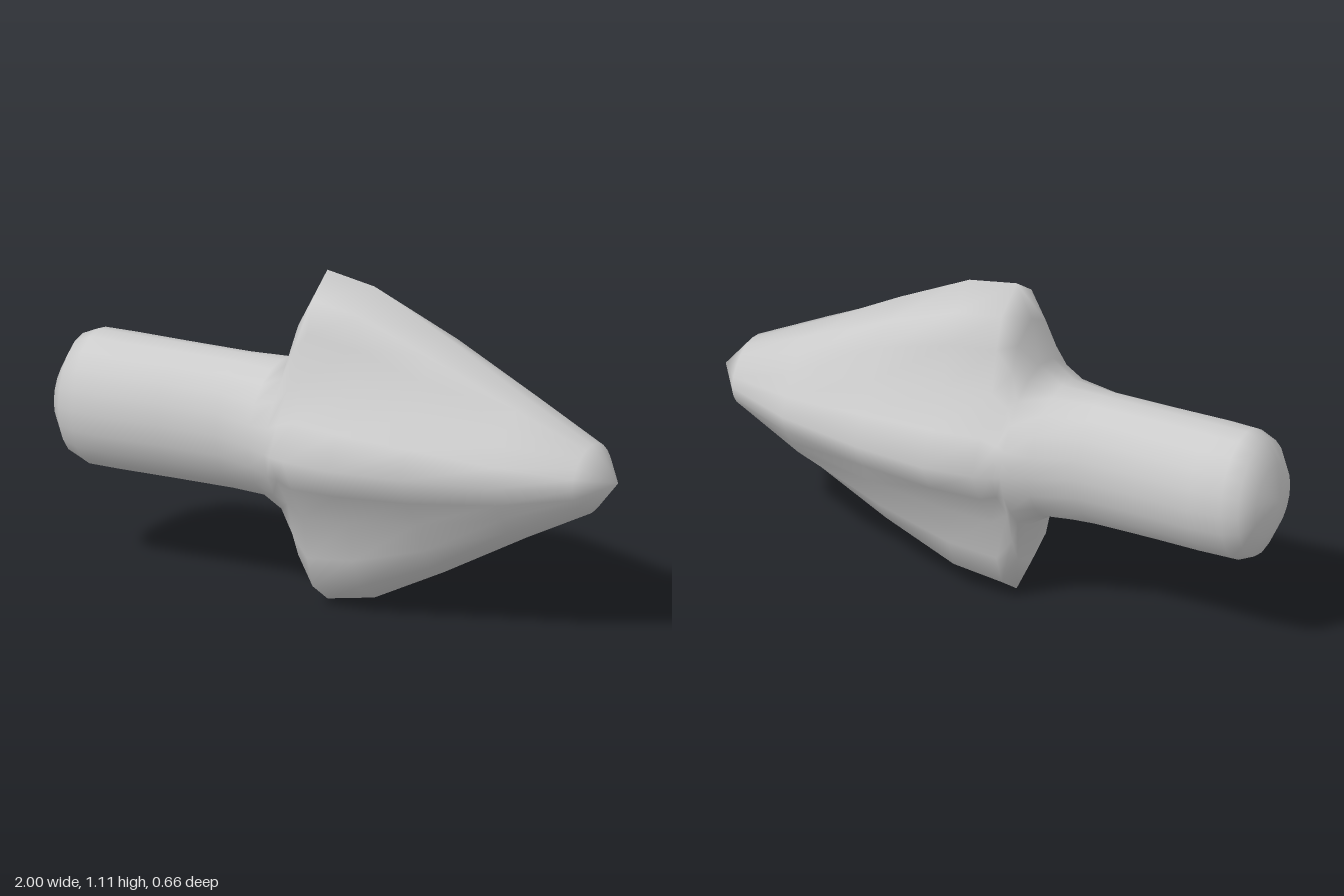
import * as THREE from 'three';
import { mergeVertices } from 'three/addons/utils/BufferGeometryUtils.js';

// Quarter outlines as [depth, height] fractions: a round shaft and a finned head
const ROUND = [0, 18, 36, 54, 72, 90].map((a) => {
  const t = THREE.MathUtils.degToRad(a);
  return [Math.cos(t), Math.sin(t)];
});
const FIN = [[1, 0], [0.81, 0.2], [0.55, 0.42], [0.45, 0.68], [0.33, 0.87], [0, 1]];

// Cross-sections along the length: x, half height, half depth, fin amount
const SECTIONS = [
  [-1, 0, 0, 0], [-0.975, 0.12, 0.12, 0], [-0.935, 0.2, 0.165, 0], [-0.88, 0.225, 0.18, 0],
  [-0.77, 0.225, 0.19, 0], [-0.57, 0.225, 0.18, 0], [-0.36, 0.225, 0.18, 0],
  [-0.215, 0.225, 0.235, 0], [-0.135, 0.28, 0.275, 0.2], [-0.105, 0.44, 0.295, 0.9],
  [-0.05, 0.555, 0.31, 1], [0.12, 0.525, 0.33, 1], [0.37, 0.4, 0.305, 0.75],
  [0.67, 0.235, 0.24, 0.35], [0.905, 0.115, 0.137, 0.1], [1, 0, 0, 0],
];

// Mirrors a blended quarter outline into a full ring, from +z round to +y
function ring([x, h, d, fin]) {
  const q = ROUND.map(([z, y], i) => [
    d * THREE.MathUtils.lerp(z, FIN[i][0], fin),
    h * THREE.MathUtils.lerp(y, FIN[i][1], fin),
  ]);
  const last = q.length - 1;
  const points = [];
  for (let k = 0; k < last * 4; k++) {
    const side = Math.floor(k / last);
    const step = k % last;
    const [z, y] = q[side % 2 ? last - step : step];
    const zs = side === 1 || side === 2 ? -1 : 1;
    const ys = side < 2 ? 1 : -1;
    points.push(x, 0.555 + ys * y, zs * z);
  }
  return points;
}

function loft(sections) {
  const rings = sections.map(ring);
  const n = rings[0].length / 3;
  const index = [];
  for (let i = 0; i < rings.length - 1; i++) {
    for (let j = 0; j < n; j++) {
      const a = i * n + j;
      const c = i * n + ((j + 1) % n);
      if (i < rings.length - 2) index.push(a, a + n, c + n);
      if (i > 0) index.push(a, c + n, c);
      if (i === rings.length - 2) index.push(a, a + n, c);
    }
  }
  // The last band needs only one triangle per side
  index.length -= n * 6;
  for (let j = 0; j < n; j++) {
    const base = (rings.length - 2) * n;
    index.push(base + j, base + n + j, base + ((j + 1) % n));
  }
  const geometry = new THREE.BufferGeometry();
  geometry.setAttribute('position', new THREE.Float32BufferAttribute(rings.flat(), 3));
  geometry.setIndex(index);
  const merged = mergeVertices(geometry);
  merged.computeVertexNormals();
  return merged;
}

export function createModel() {
  const group = new THREE.Group();
  group.name = 'arrow';
  // Shaft and finned head form one smooth skin
  const material = new THREE.MeshStandardMaterial({ color: 0xcccccc });
  const body = new THREE.Mesh(loft(SECTIONS), material);
  body.name = 'arrowBody';
  group.add(body);
  return group;
}
